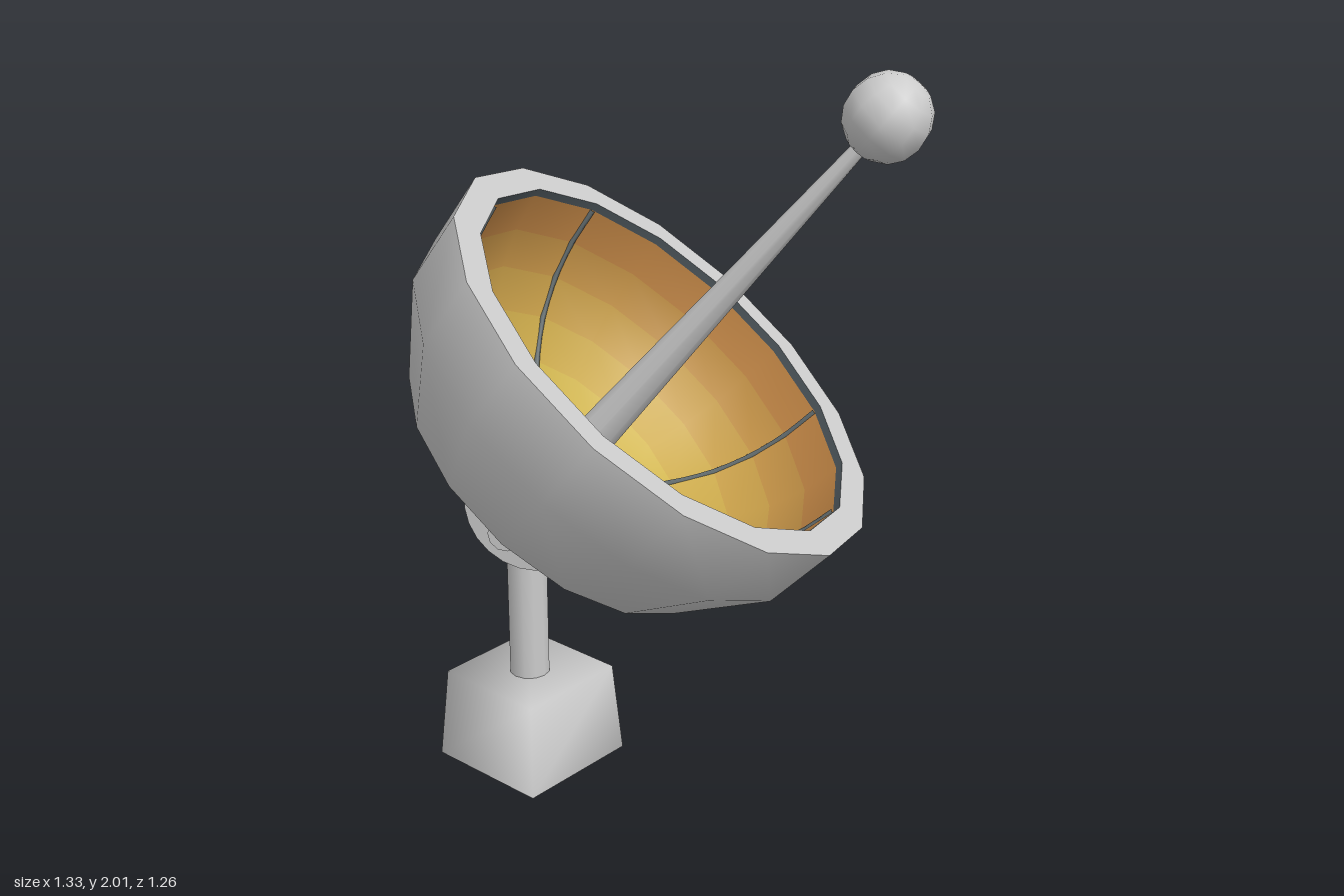
import * as THREE from 'three';
import { mergeVertices } from 'three/addons/utils/BufferGeometryUtils.js';

const SIDES = 16;
const grey = new THREE.MeshStandardMaterial({ color: 0xcccccc });
const greyThin = new THREE.MeshStandardMaterial({ color: 0xcccccc, side: THREE.DoubleSide });
const paint = (color) => new THREE.MeshStandardMaterial({ color });

function add(parent, name, geometry, material = grey, x = 0, y = 0, z = 0) {
  const mesh = new THREE.Mesh(geometry, material);
  mesh.name = name;
  mesh.position.set(x, y, z);
  parent.add(mesh);
  return mesh;
}

const lathe = (pts) =>
  new THREE.LatheGeometry(pts.map(([r, y]) => new THREE.Vector2(r, y)), SIDES);

// One ring of a lathe, keeping the smooth normals of the whole surface
function latheBand(geometry, band, bands) {
  const index = Array.from(geometry.index.array);
  const part = geometry.clone();
  part.setIndex(index.filter((_, k) => Math.floor(k / 6) % bands === band));
  return part;
}

// Tapered pedestal, open underneath
function pedestalGeometry(top, bottom, height) {
  const box = new THREE.BoxGeometry(2, height, 2);
  const index = Array.from(box.index.array);
  index.splice(18, 6);
  box.setIndex(index);
  box.deleteAttribute('normal');
  box.deleteAttribute('uv');
  const g = mergeVertices(box);
  const p = g.attributes.position;
  for (let i = 0; i < p.count; i++) {
    const s = p.getY(i) > 0 ? top : bottom;
    p.setXYZ(i, p.getX(i) * s, p.getY(i), p.getZ(i) * s);
  }
  g.computeVertexNormals();
  return g;
}

export function createModel() {
  const model = new THREE.Group();
  model.name = 'dishAntenna';

  // Stand
  add(model, 'pedestal', pedestalGeometry(0.165, 0.185, 0.265), greyThin, -0.162, 0.1325, -0.337);
  add(model, 'post', new THREE.CylinderGeometry(0.057, 0.057, 0.56, 12), grey, -0.165, 0.38, -0.335);

  // Dish: local y is the dish axis, origin at the rim centre
  const dish = new THREE.Group();
  dish.name = 'dish';
  dish.position.set(0.005, 1.255, 0.04);
  dish.rotation.set(0.692, 0.453, 0, 'YXZ');
  model.add(dish);

  add(dish, 'outerBowl', lathe([[0, -0.62], [0.26, -0.585], [0.5, -0.46], [0.655, -0.21], [0.675, 0]]));
  add(dish, 'rim', lathe([[0.675, 0], [0.595, 0]]));

  // Inner bowl: dark edge, gold bands, black centre
  const inner = [[0.595, 0], [0.592, -0.022], [0.572, -0.13], [0.53, -0.23],
    [0.46, -0.325], [0.36, -0.405], [0.26, -0.455], [0.165, -0.49], [0, -0.53]];
  const bands = inner.length - 1;
  const bowl = lathe(inner);
  const rimGold = new THREE.Color(0xbf8444);
  const deepGold = new THREE.Color(0xd2bd4e);
  for (let i = 0; i < bands; i++) {
    const last = i === bands - 1;
    const color = i === 0 ? 0x4a5358 : last ? 0x0c0c0c
      : rimGold.clone().lerp(deepGold, (i - 1) / (bands - 3));
    const name = i === 0 ? 'innerEdge' : last ? 'centreDisc' : 'innerBand' + i;
    add(dish, name, latheBand(bowl, i, bands), paint(color));
  }

  // Radial seams
  const seamPath = new THREE.CatmullRomCurve3(
    inner.slice(1, -1).map(([r, y]) => new THREE.Vector3(0, y, r)));
  const seamGeometry = new THREE.TubeGeometry(seamPath, 14, 0.009, 5);
  const seamPaint = paint(0x646e70);
  for (let i = 0; i < 8; i++) {
    add(dish, 'seam' + (i + 1), seamGeometry, seamPaint).rotation.y = (i * Math.PI) / 4;
  }

  // Feed rod and ball
  add(dish, 'feedRod', new THREE.CylinderGeometry(0.018, 0.062, 1.3, 8), grey, 0, 0.13, 0);
  add(dish, 'feedBall', new THREE.SphereGeometry(0.112, 10, 8), grey, 0, 0.84, 0);

  // Half-round hinge bracket, open on one side, with its pin
  const hinge = new THREE.Group();
  hinge.name = 'hinge';
  hinge.position.y = -0.59;
  dish.add(hinge);
  const wall = new THREE.CylinderGeometry(0.185, 0.185, 0.13, 12, 1, true, Math.PI, Math.PI);
  add(hinge, 'bracketWall', wall.rotateZ(Math.PI / 2), greyThin);
  const cheek = new THREE.CircleGeometry(0.185, 12, Math.PI, Math.PI);
  add(hinge, 'bracketCheek', cheek.rotateY(-Math.PI / 2), greyThin, -0.065, 0, 0);
  const pin = new THREE.CylinderGeometry(0.046, 0.046, 0.185, 10);
  add(hinge, 'hingePin', pin.rotateZ(Math.PI / 2), grey, 0, -0.1, 0);

  return model;
}
